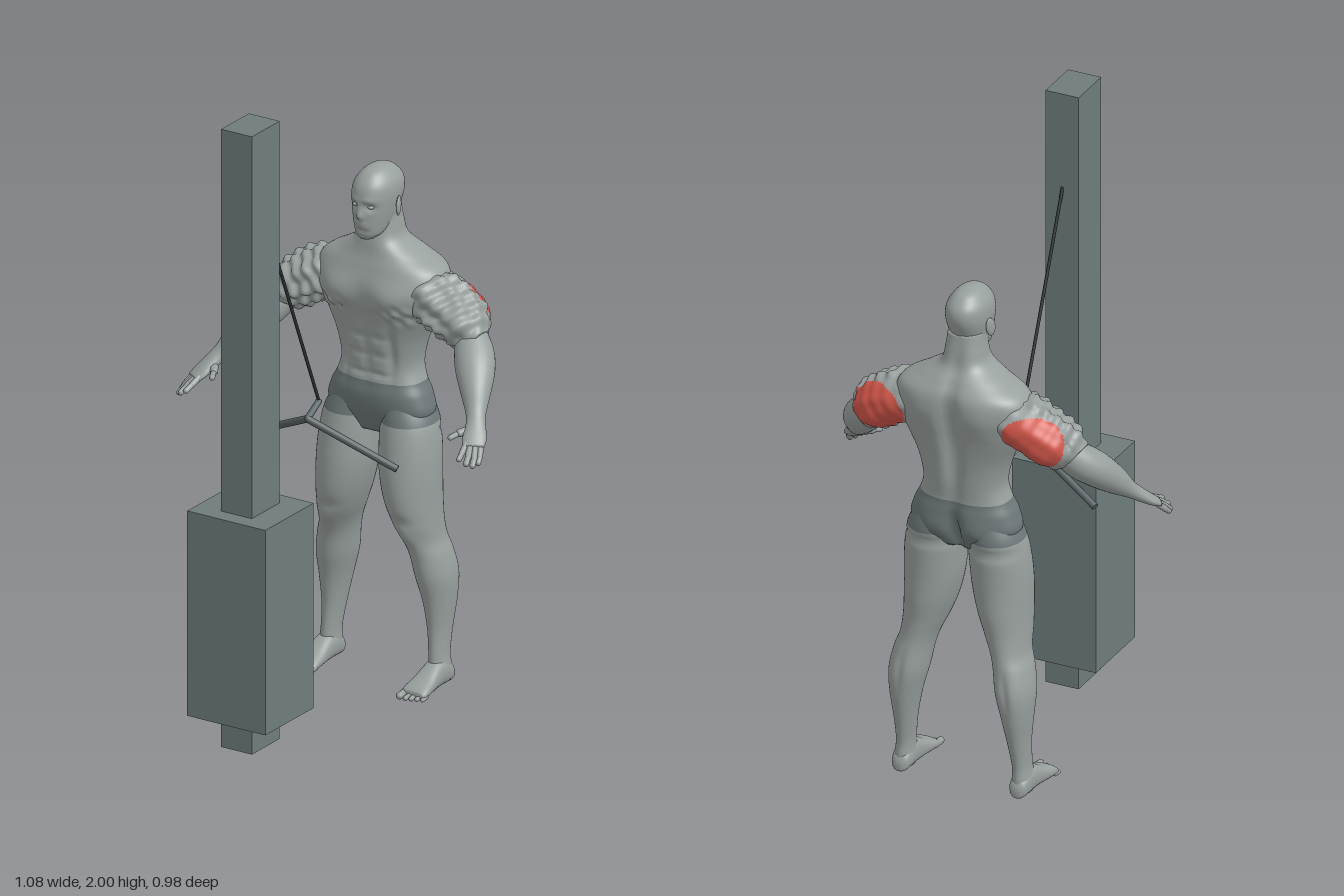
import * as THREE from 'three';

const mat = (name, color) => Object.assign(new THREE.MeshStandardMaterial({ color }), { name });
const V = (x, y, z) => new THREE.Vector3(x, y, z);
const bell = (d, w) => Math.exp(-((d / w) ** 2));

// Skin a list of elliptical sections [x, y, z, a, b]; a lies along U and b along W.
function loft(sections, U, W, { steps = 4, segs = 40, power = 2, bend, paint } = {}) {
  const mid = new THREE.CatmullRomCurve3(sections.map(s => V(s[0], s[1], s[2])), false, 'catmullrom');
  const rad = new THREE.CatmullRomCurve3(sections.map(s => V(s[3], s[4], 0)), false, 'catmullrom');
  const rows = (sections.length - 1) * steps, pos = [], faces = [[], []];
  const along = mid.getPoint(1).sub(mid.getPoint(0));
  const w = W.clone();
  if (U.clone().cross(w).dot(along) < 0) w.negate();
  const soft = v => Math.sign(v) * Math.abs(v) ** (2 / power);
  for (let i = 0; i <= rows; i++) {
    const c = mid.getPoint(i / rows), r = rad.getPoint(i / rows);
    for (let j = 0; j < segs; j++) {
      const t = j / segs * Math.PI * 2;
      const p = c.clone().addScaledVector(U, soft(Math.cos(t)) * r.x).addScaledVector(w, soft(Math.sin(t)) * r.y);
      if (bend) bend(p, c);
      pos.push(p.x, p.y, p.z);
    }
  }
  for (let i = 0; i < rows; i++) for (let j = 0; j < segs; j++) {
    const a = i * segs + j, b = i * segs + (j + 1) % segs;
    const ang = ((j + 0.5) / segs * 2 + 1) % 2 - 1;
    faces[paint && paint((i + 0.5) / steps, ang * Math.PI) ? 1 : 0].push(a, b, a + segs, b, b + segs, a + segs);
  }
  const k = pos.length / 3, last = rows * segs;
  pos.push(...mid.getPoint(0).toArray(), ...mid.getPoint(1).toArray());
  for (let j = 0; j < segs; j++) {
    const n = (j + 1) % segs;
    faces[paint && paint(0, 9) ? 1 : 0].push(k, n, j);
    faces[0].push(k + 1, last + j, last + n);
  }
  const g = new THREE.BufferGeometry();
  g.setAttribute('position', new THREE.Float32BufferAttribute(pos, 3));
  g.setIndex([...faces[0], ...faces[1]]);
  g.addGroup(0, faces[0].length, 0);
  g.addGroup(faces[0].length, faces[1].length, 1);
  g.computeVertexNormals();
  return g;
}

// Rod or rounded rod between two points
function rod(a, b, r, round = false) {
  const d = b.clone().sub(a), len = d.length();
  const g = round ? new THREE.CapsuleGeometry(r, len, 5, 10) : new THREE.CylinderGeometry(r, r, len, 16);
  g.applyQuaternion(new THREE.Quaternion().setFromUnitVectors(V(0, 1, 0), d.normalize()));
  return g.translate((a.x + b.x) / 2, (a.y + b.y) / 2, (a.z + b.z) / 2);
}

const ball = (x, y, z, rx, ry, rz) => new THREE.SphereGeometry(1, 20, 14).scale(rx, ry, rz).translate(x, y, z);

function mirrored(geo) {
  const g = geo.clone().applyMatrix4(new THREE.Matrix4().makeScale(-1, 1, 1)), ix = g.index;
  for (let i = 0; i < ix.count; i += 3) {
    const t = ix.getX(i);
    ix.setX(i, ix.getX(i + 1));
    ix.setX(i + 1, t);
  }
  return g;
}

export function createModel() {
  const root = new THREE.Group();
  const skin = mat('skin grey', 0x98a09e), shorts = mat('shorts grey', 0x6c7678), red = mat('muscle red', 0xd2564a);
  const steel = mat('machine grey', 0x6f7c7c), dark = mat('cable dark', 0x2a3133), grip = mat('bar grey', 0x566063);
  const X = V(1, 0, 0), Y = V(0, 1, 0), Z = V(0, 0, 1);
  const add = (name, geo, m) => {
    const mesh = new THREE.Mesh(geo, m);
    mesh.name = name;
    root.add(mesh);
  };
  const pair = (name, geo, m) => {
    add('left' + name, geo, m);
    add('right' + name, mirrored(geo), m);
  };

  // Cable machine
  add('column', new THREE.BoxGeometry(0.11, 1.99, 0.15).translate(0, 1.005, 0.355), steel);
  add('weightBox', new THREE.BoxGeometry(0.28, 0.66, 0.26).translate(0, 0.44, 0.355), steel);
  add('cable', rod(V(0, 1.69, 0.285), V(0, 0.99, -0.012), 0.005), dark);
  add('barStem', rod(V(0, 0.985, -0.012), V(0, 0.95, 0.048), 0.01, true), grip);
  pair('BarHandle', rod(V(0, 0.95, 0.048), V(0.267, 0.82, -0.034), 0.0115), grip);

  // Torso, neck and hips: y, half width, front z, back z
  const torso = [
    [0.80, 0.09, -0.29, -0.41], [0.86, 0.172, -0.268, -0.44], [0.92, 0.165, -0.262, -0.448], [0.965, 0.143, -0.27, -0.445],
    [1.02, 0.13, -0.272, -0.45], [1.10, 0.148, -0.265, -0.458], [1.18, 0.185, -0.255, -0.472], [1.22, 0.20, -0.247, -0.48],
    [1.28, 0.215, -0.245, -0.488], [1.33, 0.20, -0.258, -0.485], [1.37, 0.135, -0.272, -0.462], [1.41, 0.075, -0.28, -0.433],
    [1.46, 0.06, -0.29, -0.42], [1.51, 0.055, -0.29, -0.41],
  ].map(([y, h, f, b]) => [0, y, (f + b) / 2, h, (f - b) / 2]);
  add('torso', loft(torso, X, Z, {
    steps: 7, segs: 96, power: 2.5,
    paint: s => s < 3,
    bend(p, c) {
      const ax = Math.abs(p.x), side = Math.min(1, Math.abs(p.z - c.z) / 0.05);
      if (p.z > c.z) {
        // chest, with ragged lower edge, and abdominal blocks
        const lump = Math.sin(p.x * 95) * Math.sin(p.y * 120 + p.x * 40);
        p.z += side * (0.022 * bell(ax - 0.1, 0.075) * bell(p.y - 1.245, 0.05) + 0.009 * lump * bell(p.y - 1.2, 0.03) * bell(ax - 0.12, 0.07));
        const belly = bell(p.y - 1.06, 0.09);
        p.z -= side * belly * (0.009 * bell(p.x, 0.012) + 0.01 * bell(ax - 0.08, 0.015));
        for (const y of [0.99, 1.05, 1.11]) p.z -= side * 0.007 * bell(p.y - y, 0.008) * bell(ax - 0.035, 0.035);
      } else {
        // spine groove, shoulder blades and buttocks
        p.z += side * 0.032 * bell(p.x, 0.024) * bell(p.y - 1.2, 0.17);
        p.z -= side * 0.008 * bell(ax - 0.1, 0.05) * bell(p.y - 1.27, 0.06);
        p.z += side * bell(p.y - 0.86, 0.06) * (0.035 * bell(p.x, 0.018) - 0.018 * bell(ax - 0.075, 0.06));
      }
    },
  }), [skin, shorts]);

  // Head: y, half width, front z, back z
  const head = [
    [1.428, 0.022, -0.25, -0.30], [1.445, 0.042, -0.243, -0.345], [1.48, 0.054, -0.238, -0.39], [1.52, 0.062, -0.236, -0.415],
    [1.56, 0.066, -0.234, -0.43], [1.595, 0.062, -0.243, -0.427], [1.622, 0.046, -0.265, -0.405], [1.637, 0.028, -0.29, -0.38],
    [1.643, 0.008, -0.325, -0.345],
  ].map(([y, h, f, b]) => [0, y, (f + b) / 2, h, (f - b) / 2]);
  add('head', loft(head, X, Z, {
    steps: 6, segs: 64, power: 2.2,
    bend(p, c) {
      if (p.z < c.z + 0.02) return;
      const ax = Math.abs(p.x);
      p.z -= 0.012 * bell(ax - 0.027, 0.014) * bell(p.y - 1.535, 0.012);
      p.z += 0.016 * bell(p.x, 0.01) * bell(p.y - 1.508, 0.014) + 0.007 * bell(p.x, 0.009) * bell(p.y - 1.53, 0.014);
      p.z += 0.004 * bell(ax - 0.025, 0.022) * bell(p.y - 1.556, 0.008);
      p.z += 0.006 * bell(p.x, 0.02) * (bell(p.y - 1.482, 0.005) + bell(p.y - 1.47, 0.005)) - 0.004 * bell(p.x, 0.02) * bell(p.y - 1.458, 0.006);
    },
  }), [skin, skin]);
  pair('Eye', ball(0.027, 1.535, -0.252, 0.01, 0.006, 0.008), skin);
  pair('Ear', ball(0, 0, 0, 0.007, 0.031, 0.018).rotateX(-0.2).rotateY(0.35).translate(0.07, 1.522, -0.338), skin);

  // Legs
  pair('Leg', loft([
    [0.085, 0.90, -0.36, 0.072, 0.085], [0.10, 0.84, -0.355, 0.087, 0.098], [0.108, 0.76, -0.346, 0.092, 0.104],
    [0.113, 0.68, -0.34, 0.09, 0.108], [0.122, 0.60, -0.34, 0.08, 0.108], [0.135, 0.53, -0.345, 0.068, 0.098],
    [0.15, 0.47, -0.36, 0.057, 0.085], [0.165, 0.42, -0.372, 0.058, 0.082], [0.177, 0.35, -0.383, 0.058, 0.082],
    [0.185, 0.27, -0.388, 0.046, 0.067], [0.189, 0.18, -0.383, 0.033, 0.051], [0.193, 0.10, -0.373, 0.027, 0.044],
    [0.196, 0.05, -0.372, 0.03, 0.046], [0.196, 0.012, -0.372, 0.028, 0.042],
  ], X, Z, {
    steps: 5, segs: 48, paint: s => s < 1,
    bend(p, c) {
      // thigh and kneecap definition, calf split
      if (p.z > c.z) p.z += 0.008 * bell(p.y - 0.49, 0.03) * bell(p.x - c.x, 0.025) - 0.007 * bell(p.y - 0.545, 0.015) * bell(p.x - c.x, 0.04);
      else p.z += 0.008 * bell(p.x - c.x, 0.012) * bell(p.y - 0.36, 0.06) + 0.01 * bell(p.y - 0.81, 0.012);
    },
  }), [skin, shorts]);

  // Feet and toes
  pair('Foot', loft([
    [0.196, 0.02, -0.424, 0.012, 0.015], [0.196, 0.03, -0.41, 0.027, 0.03], [0.196, 0.043, -0.37, 0.032, 0.043],
    [0.196, 0.04, -0.33, 0.034, 0.04], [0.197, 0.027, -0.28, 0.04, 0.027], [0.198, 0.018, -0.235, 0.044, 0.018],
    [0.198, 0.013, -0.218, 0.038, 0.012],
  ], X, Y, { segs: 28, power: 2.4 }), [skin, skin]);
  for (let i = 0; i < 5; i++) {
    const r = i ? 0.0085 - i * 0.0004 : 0.0115, x = 0.166 + i * 0.0165 + (i ? 0.004 : 0);
    pair('Toe' + (i + 1), rod(V(x, r + 0.003, -0.24), V(x, r, -0.199 - Math.max(0, i - 1) * 0.006), r, true), skin);
  }

  // Shoulders and upper arms, with the worked muscle at the back
  pair('UpperArm', loft([
    [0.14, 1.28, -0.365, 0.09, 0.06], [0.19, 1.25, -0.362, 0.103, 0.08], [0.245, 1.225, -0.36, 0.102, 0.082],
    [0.295, 1.192, -0.357, 0.096, 0.078], [0.33, 1.168, -0.348, 0.078, 0.062], [0.355, 1.15, -0.335, 0.05, 0.045],
  ], V(0, 0, -1), V(0.58, 0.81, 0), {
    steps: 10, segs: 72,
    paint: (s, a) => ((s - 2.45) / 1.75) ** 2 + ((a - 0.05) / 1.15) ** 2 < 1,
    bend(p, c) {
      const rough = p.z < -0.40 ? 0.025 : 0.11;
      const n = Math.sin(p.x * 85 + p.z * 40) * Math.sin(p.y * 90 - p.x * 30) + 0.5 * Math.sin(p.z * 120 + p.y * 70);
      p.addScaledVector(p.clone().sub(c), rough * n);
    },
  }), [skin, red]);

  // Forearms
  const across = V(0.81, 0, -0.58), dir = V(0.45, -0.63, 0.63).normalize();
  pair('Forearm', loft([
    [0.31, 1.18, -0.36, 0.045, 0.045], [0.355, 1.128, -0.315, 0.06, 0.055], [0.39, 1.085, -0.27, 0.06, 0.054],
    [0.425, 1.035, -0.22, 0.045, 0.043], [0.452, 0.993, -0.18, 0.031, 0.027], [0.468, 0.97, -0.155, 0.03, 0.022],
    [0.488, 0.94, -0.118, 0.037, 0.017], [0.501, 0.922, -0.092, 0.033, 0.012],
  ], across, across.clone().cross(dir).normalize(), { steps: 5, segs: 28 }), [skin, skin]);

  // Fingers: knuckle, middle joint and tip
  const fingers = [
    [[0.478, 0.93, -0.088], [0.484, 0.914, -0.058], [0.489, 0.902, -0.033]],
    [[0.492, 0.926, -0.088], [0.504, 0.905, -0.06], [0.511, 0.89, -0.038]],
    [[0.505, 0.922, -0.095], [0.519, 0.899, -0.07], [0.525, 0.883, -0.051]],
    [[0.516, 0.92, -0.108], [0.527, 0.9, -0.088], [0.531, 0.886, -0.073]],
    [[0.462, 0.958, -0.145], [0.44, 0.95, -0.11], [0.427, 0.942, -0.08]],
  ];
  fingers.forEach((f, i) => {
    const [a, b, c] = f.map(p => V(...p)), n = i < 4 ? 'Finger' + (i + 1) : 'Thumb';
    pair(n + 'Base', rod(a, b, i < 4 ? 0.0098 : 0.0125, true), skin);
    pair(n + 'Tip', rod(b, c, 0.0088, true), skin);
  });

  return root;
}
